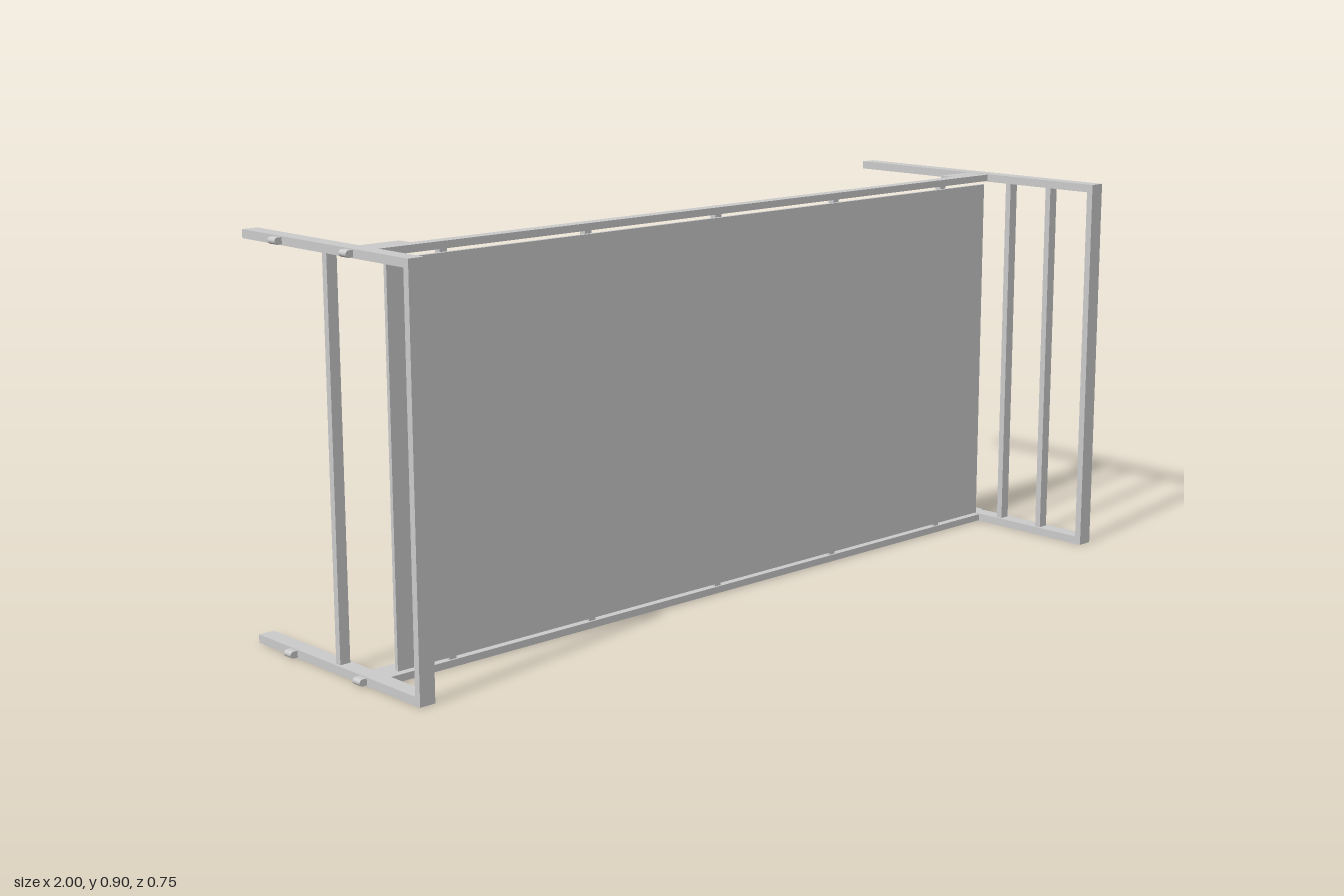
import * as THREE from 'three';

const material = new THREE.MeshStandardMaterial({ color: 0xcccccc });
const H = 0.905; // overall height
const T = 0.019; // tube thickness

// Box given by its extents on each axis
function box(parent, name, [x0, x1], [y0, y1], [z0, z1]) {
  const mesh = new THREE.Mesh(new THREE.BoxGeometry(x1 - x0, y1 - y0, z1 - z0), material);
  mesh.position.set((x0 + x1) / 2, (y0 + y1) / 2, (z0 + z1) / 2);
  mesh.name = name;
  parent.add(mesh);
}

// Extrude a cross-section in the xy plane along z
function extrude(parent, name, shape, x, y, z, depth) {
  const geometry = new THREE.ExtrudeGeometry(shape, { depth, bevelEnabled: false, curveSegments: 8 });
  const mesh = new THREE.Mesh(geometry, material);
  mesh.position.set(x, y, z);
  mesh.name = name;
  parent.add(mesh);
}

function rectangle(path, w, h) {
  path.moveTo(-w / 2, -h / 2);
  path.lineTo(w / 2, -h / 2);
  path.lineTo(w / 2, h / 2);
  path.lineTo(-w / 2, h / 2);
  path.closePath();
  return path;
}

// Hollow rectangular tube section of the legs
function tubeShape() {
  const shape = rectangle(new THREE.Shape(), 0.038, T);
  shape.holes.push(rectangle(new THREE.Path(), 0.032, T - 0.006));
  return shape;
}

// Round-ended lug section pointing outwards
function lugShape(side) {
  const r = 0.0075, reach = 0.0105;
  const shape = new THREE.Shape();
  shape.moveTo(0, -r);
  shape.lineTo(side * reach, -r);
  shape.absarc(side * reach, 0, r, -Math.PI / 2, side > 0 ? Math.PI / 2 : -Math.PI * 1.5, side < 0);
  shape.lineTo(0, r);
  shape.closePath();
  return shape;
}

// U-shaped end frame: two legs, a crossbar at the front and thin slats
function endFrame(name, side, front, slats) {
  const group = new THREE.Group();
  group.name = name;
  const x = side * 0.962;
  const xs = [x - 0.019, x + 0.019];
  for (const y of [T / 2, H - T / 2]) {
    extrude(group, 'leg', tubeShape(), x, y, -0.375, front - 0.015 + 0.375);
    for (const z of [0.01, -0.24]) {
      extrude(group, 'lug', lugShape(side), side * 0.981, y, z - 0.0125, 0.025);
    }
  }
  box(group, 'endBar', xs, [0, H], [front - 0.016, front]);
  for (const z of slats) {
    box(group, 'slat', [x - 0.0125, x + 0.0125], [T, H - T], [z - 0.0075, z + 0.0075]);
  }
  return group;
}

export function createModel() {
  const model = new THREE.Group();
  model.name = 'bedFrame';

  // Tall and short end frames
  model.add(endFrame('tallEnd', 1, 0.377, [0.237, 0.112]));
  model.add(endFrame('shortEnd', -1, 0.203, [-0.087]));

  // Side rails with a bracket block at each end
  const rail = 0.016;
  for (const y of [0.001, H - rail - 0.001]) {
    const ys = [y, y + rail];
    box(model, 'sideRail', [-0.943, 0.943], ys, [0.02, 0.05]);
    box(model, 'bracket', [0.84, 0.943], ys, [-0.016, 0.02]);
    box(model, 'bracket', [-0.943, -0.84], ys, [-0.016, 0.02]);
  }

  // Cross members carrying the panel
  for (let i = -2; i <= 2; i++) {
    const x = i * 0.388;
    box(model, 'crossMember', [x - 0.009, x + 0.009], [0.017, H - 0.017], [0.029, 0.045]);
  }

  // Mattress panel
  box(model, 'panel', [-0.925, 0.925], [0.026, 0.881], [0.045, 0.054]);
  return model;
}
